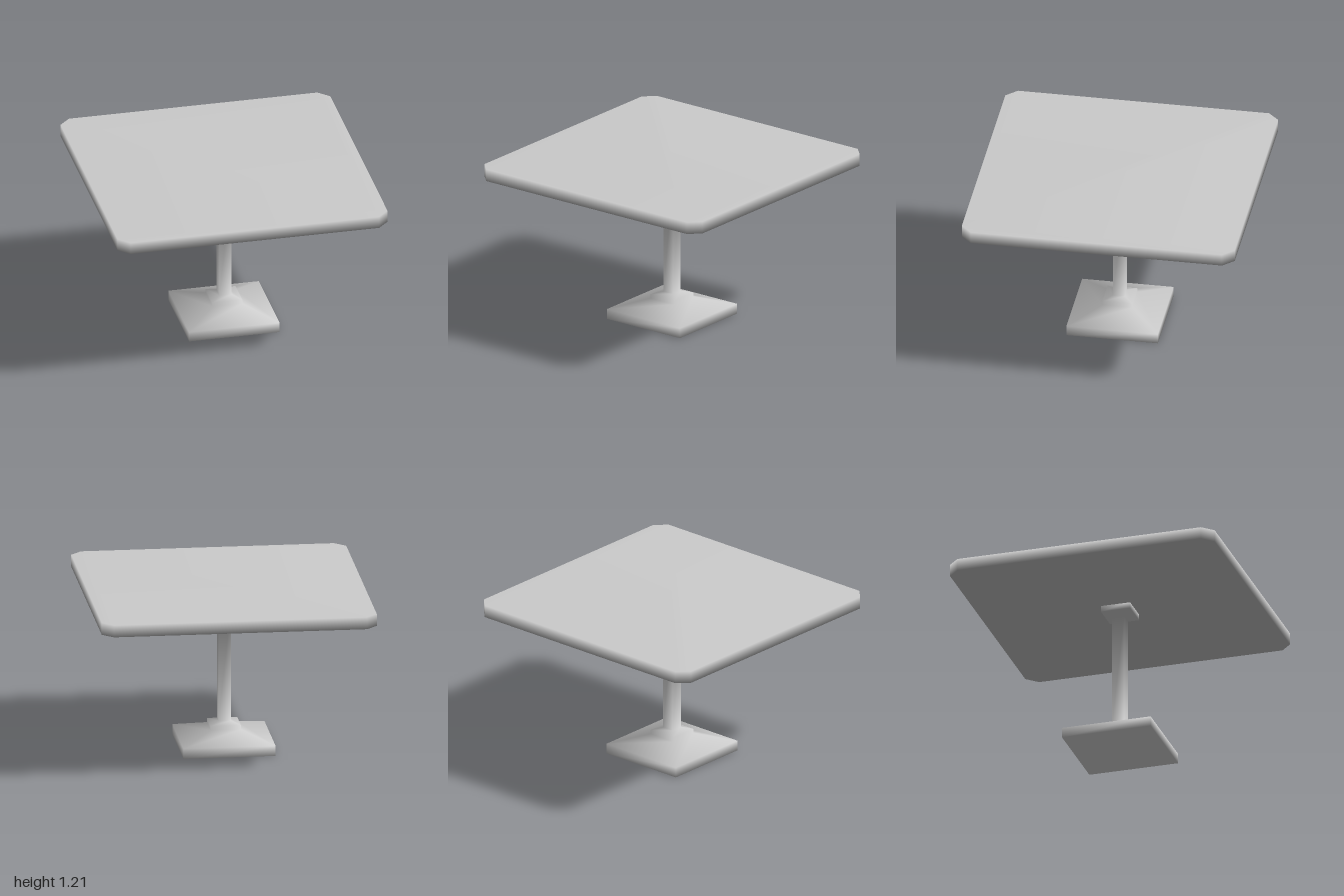
import * as THREE from 'three';

const material = new THREE.MeshStandardMaterial({ color: 0xcccccc });

// Square outline (counter-clockwise from above), optionally with cut corners
function outline(half, cut = 0) {
  const points = [];
  for (const [sx, sz] of [[1, 1], [1, -1], [-1, -1], [-1, 1]]) {
    const alongX = [sx * (half - cut), sz * half];
    const alongZ = [sx * half, sz * (half - cut)];
    if (!cut) points.push(alongX);
    else if (sx === sz) points.push(alongX, alongZ);
    else points.push(alongZ, alongX);
  }
  return points;
}

// Closed solid through stacked outlines; normals are blended over shared corners,
// each face counting by its area or all faces counting equally
function loft(name, sections, byArea) {
  const n = sections[0].points.length;
  const corners = sections.flatMap(({ y, points }) => points.map(([x, z]) => new THREE.Vector3(x, y, z)));
  const ring = [...Array(n).keys()];
  const faces = [[...ring].reverse(), ring.map(i => i + (sections.length - 1) * n)];
  for (let s = 0; s < sections.length - 1; s++) {
    for (let i = 0; i < n; i++) {
      const a = s * n + i, b = s * n + (i + 1) % n;
      faces.push([a, b, b + n, a + n]);
    }
  }

  const normals = corners.map(() => new THREE.Vector3());
  const index = [];
  for (const face of faces) {
    const sum = new THREE.Vector3();
    for (let k = 1; k < face.length - 1; k++) {
      const [a, b, c] = [face[0], face[k], face[k + 1]];
      index.push(a, b, c);
      const ab = corners[b].clone().sub(corners[a]);
      sum.add(ab.cross(corners[c].clone().sub(corners[a])));
    }
    if (!byArea) sum.normalize();
    face.forEach(i => normals[i].add(sum));
  }
  normals.forEach(v => v.normalize());

  const geometry = new THREE.BufferGeometry();
  geometry.setAttribute('position', new THREE.Float32BufferAttribute(corners.flatMap(v => v.toArray()), 3));
  geometry.setAttribute('normal', new THREE.Float32BufferAttribute(normals.flatMap(v => v.toArray()), 3));
  geometry.setIndex(index);
  const mesh = new THREE.Mesh(geometry, material);
  mesh.name = name;
  return mesh;
}

export function createModel() {
  const table = new THREE.Group();
  table.name = 'pedestalTable';

  // Foot, lower collar, square column and upper collar: [half width, height]
  const profile = [
    [0.335, 0], [0.335, 0.075], [0.11, 0.145], [0.11, 0.175], [0.045, 0.195],
    [0.045, 1.045], [0.11, 1.07], [0.11, 1.12],
  ];
  table.add(loft('pedestal', profile.map(([half, y]) => ({ y, points: outline(half) })), false));

  // Square top with cut corners
  table.add(loft('tableTop', [1.115, 1.205].map(y => ({ y, points: outline(1, 0.08) })), true));

  return table;
}
